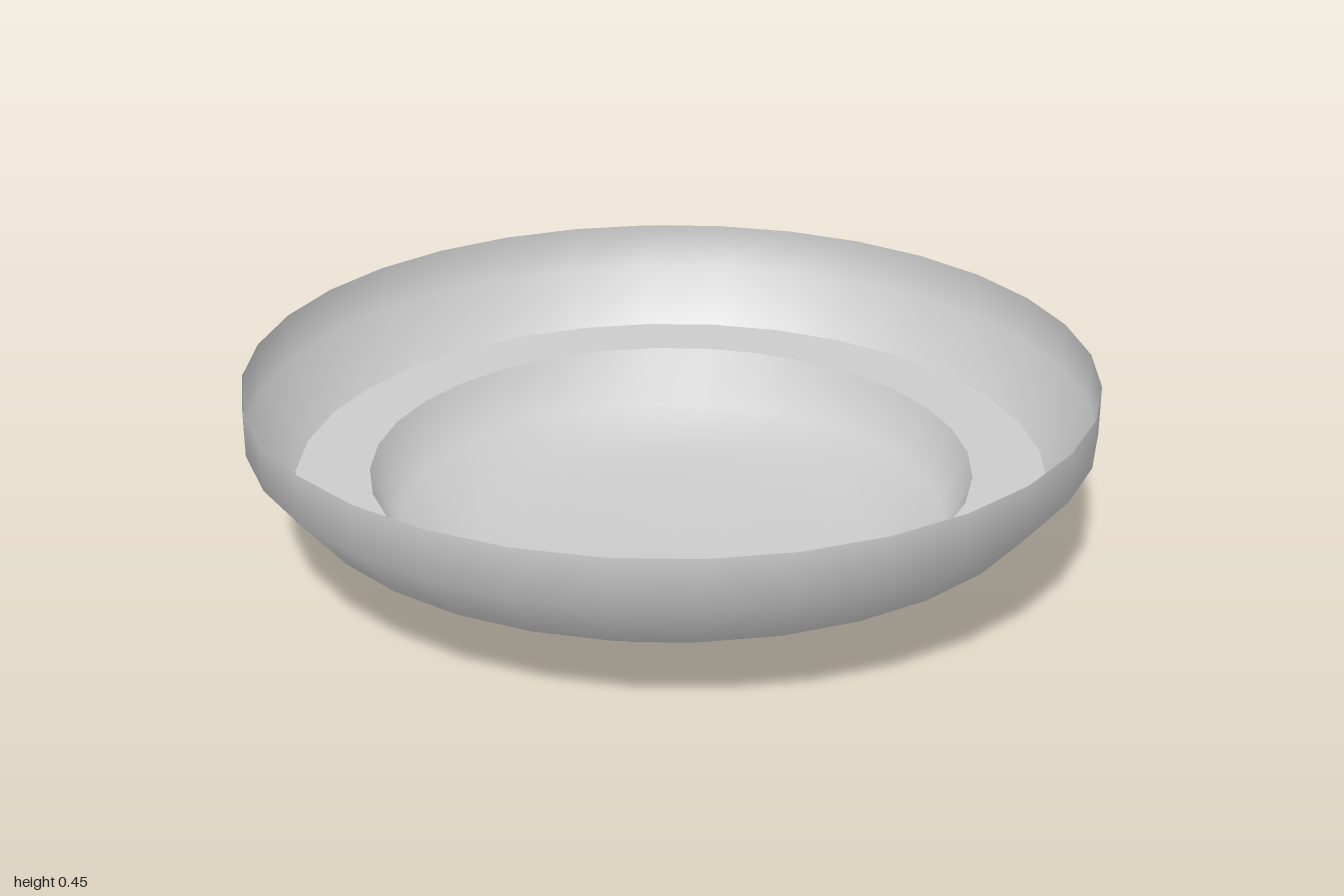
import * as THREE from 'three';

const SIDES = 32;

// Thin revolved shell from [radius, height] pairs
function shell(name, profile, material) {
  const points = profile.map(([r, y]) => new THREE.Vector2(r, y));
  const mesh = new THREE.Mesh(new THREE.LatheGeometry(points, SIDES), material);
  mesh.name = name;
  return mesh;
}

export function createModel() {
  const model = new THREE.Group();
  model.name = 'bowl';
  const material = new THREE.MeshStandardMaterial({ color: 0xcccccc, side: THREE.DoubleSide });

  // Separate shells keep hard edges on both sides of the flat ledge
  model.add(
    shell('basin', [[0, 0], [0.28, 0.005], [0.47, 0.02], [0.655, 0.07], [0.717, 0.203]], material),
    shell('ledge', [[0.717, 0.203], [0.892, 0.203]], material),
    shell('rim', [[0.892, 0.203], [1, 0.333], [1, 0.45]], material),
  );
  return model;
}
